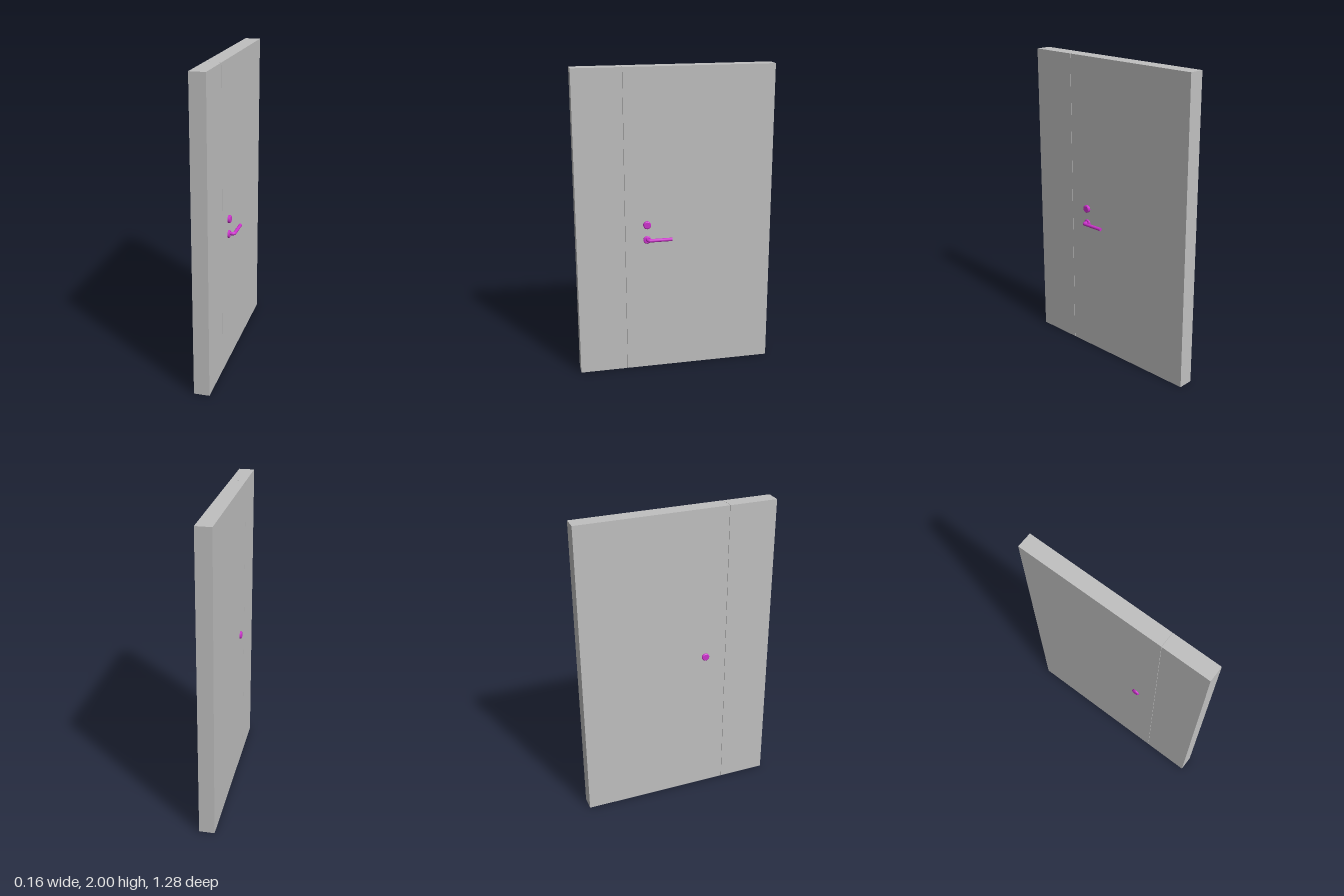
import * as THREE from 'three';

const grey = new THREE.MeshStandardMaterial({ color: 0xc0c0c0 });
grey.name = 'doorGrey';
const magenta = new THREE.MeshStandardMaterial({ color: 0xcc33cc });
magenta.name = 'hardwareMagenta';

const LOCK_Z = 0.187;

export function createModel() {
  const model = new THREE.Group();
  model.name = 'doubleDoor';

  const add = (name, geometry, material) => {
    const mesh = new THREE.Mesh(geometry, material);
    mesh.name = name;
    model.add(mesh);
    return mesh;
  };

  // Wide and narrow door leaves, with a hairline joint between them
  const leaf = (name, z0, z1) =>
    add(name, new THREE.BoxGeometry(0.1, 2, z1 - z0), grey).position.set(-0.02, 1, (z0 + z1) / 2);
  leaf('wideLeaf', -0.64, 0.327);
  leaf('narrowLeaf', 0.329, 0.64);

  // Round fitting with a chamfered rim, standing out from a door face
  const disc = (name, x, y, height, side) => {
    const profile = [[0.025, 0], [0.025, height - 0.004], [0.02, height], [0, height]]
      .map(([r, h]) => new THREE.Vector2(r, h));
    const geometry = new THREE.LatheGeometry(profile, 24).toNonIndexed();
    geometry.computeVertexNormals();
    const mesh = add(name, geometry, magenta);
    mesh.rotation.z = -side * Math.PI / 2;
    mesh.position.set(x, y, LOCK_Z);
  };
  disc('lockInside', 0.03, 1.0, 0.018, 1);
  disc('lockOutside', -0.07, 1.0, 0.012, -1);
  disc('handleRose', 0.03, 0.9, 0.012, 1);

  // Lever: short stem, rounded elbow, straight grip
  const y = 0.904, gripX = 0.068, bend = 0.016;
  const path = new THREE.CurvePath();
  const p = (x, z) => new THREE.Vector3(x, y, z);
  path.add(new THREE.LineCurve3(p(0.03, LOCK_Z), p(gripX - bend, LOCK_Z)));
  path.add(new THREE.QuadraticBezierCurve3(p(gripX - bend, LOCK_Z), p(gripX, LOCK_Z), p(gripX, LOCK_Z - bend)));
  path.add(new THREE.LineCurve3(p(gripX, LOCK_Z - bend), p(gripX, 0.03)));
  add('handleLever', new THREE.TubeGeometry(path, 64, 0.011, 16, false), magenta);

  // Flat end of the grip
  const cap = add('leverEnd', new THREE.CircleGeometry(0.011, 16), magenta);
  cap.rotation.y = Math.PI;
  cap.position.set(gripX, y, 0.03);

  return model;
}
